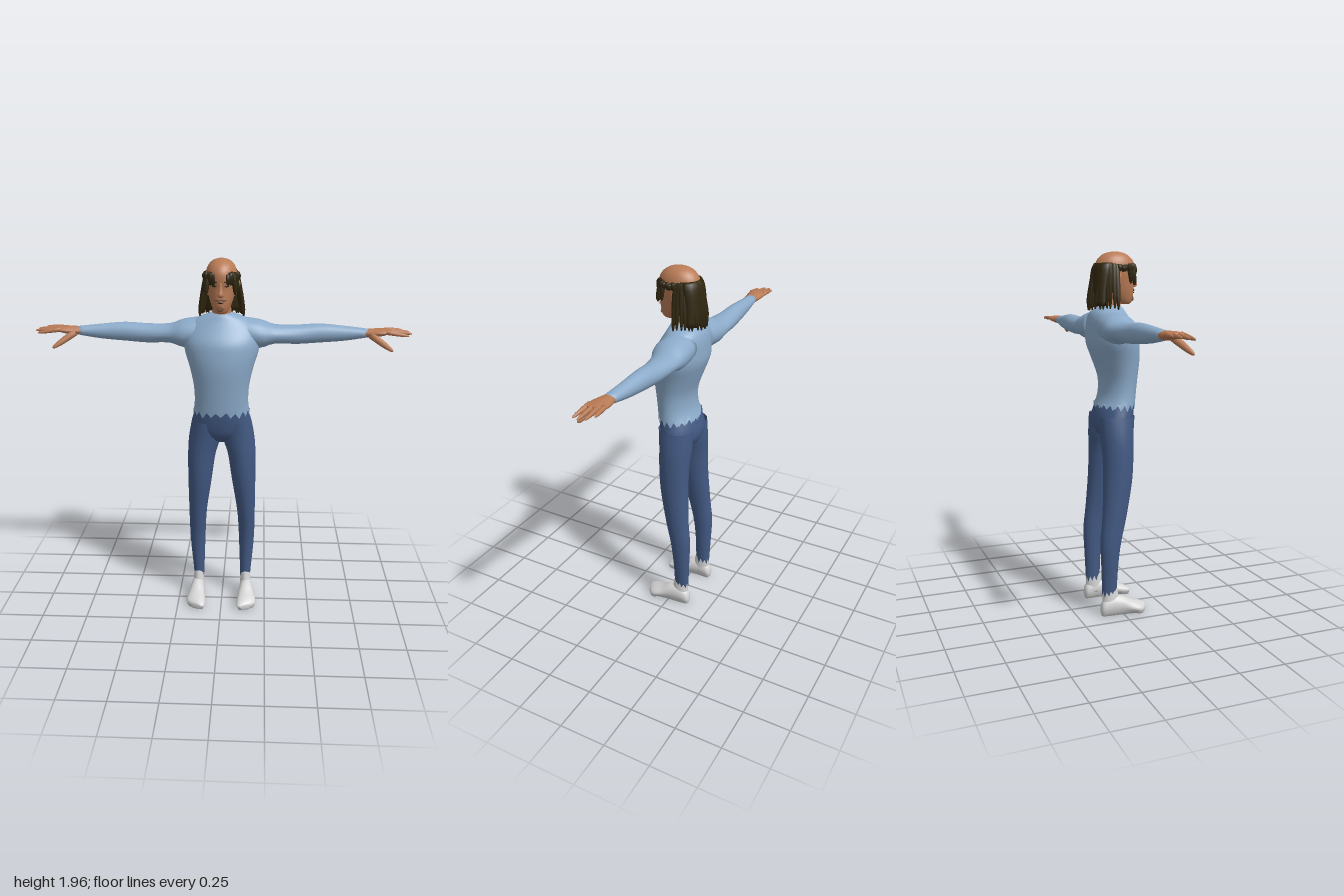
import * as THREE from 'three';

const mat = (name, color) => Object.assign(new THREE.MeshStandardMaterial({ color }), { name });

// small seeded random
let seed = 7;
const rnd = () => ((seed = (seed * 16807) % 2147483647) / 2147483647);

// Catmull-Rom blend of two neighbouring rows of numbers
const blend = (p, a, b, n, t) => a.map((_, k) => 0.5 * (2 * a[k] + (b[k] - p[k]) * t
  + (2 * p[k] - 5 * a[k] + 4 * b[k] - n[k]) * t * t + (3 * a[k] - p[k] - 3 * b[k] + n[k]) * t * t * t));

// Loft of ellipses along an axis. Row: [position, min1, max1, min2, max2], rows ascending.
// Axis y: 1 = z, 2 = x.  Axis x: 1 = y, 2 = z.  Axis z: 1 = x, 2 = y.
function loft(axis, rows, { seg = 20, sub = 3, cap = true, jag = 0 } = {}) {
  const all = [];
  rows.forEach((r, i) => {
    if (i === rows.length - 1) return all.push(r);
    const p = rows[Math.max(i - 1, 0)], b = rows[i + 1], n = rows[Math.min(i + 2, rows.length - 1)];
    for (let s = 0; s < sub; s++) all.push(blend(p, r, b, n, s / sub));
  });
  const A = 'xyz'.indexOf(axis), pos = [], idx = [];
  const put = (t, u, v) => {
    const q = [0, 0, 0];
    q[A] = t; q[(A + 1) % 3] = u; q[(A + 2) % 3] = v;
    pos.push(...q);
  };
  all.forEach(([t, a0, a1, b0, b1], i) => {
    for (let j = 0; j < seg; j++) {
      const th = (j / seg) * Math.PI * 2;
      const dt = i === 0 && jag ? (j % 2 ? 1 : -1) * jag * (0.35 + 0.65 * rnd()) : 0;
      put(t + dt, (a0 + a1) / 2 + Math.cos(th) * (a1 - a0) / 2, (b0 + b1) / 2 + Math.sin(th) * (b1 - b0) / 2);
    }
  });
  const at = (i, j) => i * seg + (j % seg);
  for (let i = 0; i < all.length - 1; i++) for (let j = 0; j < seg; j++)
    idx.push(at(i, j), at(i, j + 1), at(i + 1, j + 1), at(i, j), at(i + 1, j + 1), at(i + 1, j));
  if (cap) {
    const n = all.length - 1, f = all[0], l = all[n], c = all.length * seg;
    put(f[0], (f[1] + f[2]) / 2, (f[3] + f[4]) / 2);
    put(l[0], (l[1] + l[2]) / 2, (l[3] + l[4]) / 2);
    for (let j = 0; j < seg; j++) idx.push(c, at(0, j + 1), at(0, j), c + 1, at(n, j), at(n, j + 1));
  }
  const g = new THREE.BufferGeometry();
  g.setAttribute('position', new THREE.Float32BufferAttribute(pos, 3));
  g.setIndex(idx);
  g.computeVertexNormals();
  return g;
}

// mirrored copy across x with corner order corrected
function mirror(g) {
  const m = g.clone().scale(-1, 1, 1), a = m.index.array;
  for (let i = 0; i < a.length; i += 3) [a[i], a[i + 1]] = [a[i + 1], a[i]];
  m.computeVertexNormals();
  return m;
}

// tapered finger between two points
function finger(a, b, r) {
  const A = new THREE.Vector3(...a), d = new THREE.Vector3(...b).sub(A), L = d.length();
  const g = loft('y', [[0, -r, r, -r, r], [L * 0.55, -r * 0.85, r * 0.85, -r * 0.85, r * 0.85],
    [L * 0.92, -r * 0.5, r * 0.5, -r * 0.5, r * 0.5], [L, -0.001, 0.001, -0.001, 0.001]], { seg: 8, sub: 2 });
  g.applyQuaternion(new THREE.Quaternion().setFromUnitVectors(new THREE.Vector3(0, 1, 0), d.normalize()));
  return g.translate(A.x, A.y, A.z);
}

export function createModel() {
  seed = 7;
  const root = new THREE.Group();
  root.name = 'standingMan';
  const skin = mat('skin', 0xb97b56), hair = mat('hair', 0x30260f), shirt = mat('shirtBlue', 0x8cabca);
  const jeans = mat('jeansBlue', 0x435a84), shoe = mat('shoeWhite', 0xd6d6d6);
  const stubble = mat('stubble', 0x86593f), dark = mat('eyeDark', 0x2a1a12);
  shirt.side = jeans.side = THREE.DoubleSide;
  const add = (name, g, m) => {
    const o = new THREE.Mesh(g, m);
    o.name = name;
    root.add(o);
  };
  const pair = (name, g, m) => {
    add(name + 'Left', g, m);
    add(name + 'Right', mirror(g), m);
  };

  // shirt body with ragged hem, and sleeves
  add('shirtBody', loft('y', [
    [1.15, -0.1, 0.111, -0.153, 0.153], [1.21, -0.077, 0.117, -0.144, 0.144], [1.3, -0.076, 0.126, -0.148, 0.148],
    [1.4, -0.11, 0.136, -0.17, 0.17], [1.48, -0.138, 0.132, -0.195, 0.195], [1.54, -0.14, 0.12, -0.2, 0.2],
    [1.6, -0.136, 0.085, -0.188, 0.188], [1.645, -0.122, 0.06, -0.145, 0.145], [1.672, -0.095, 0.048, -0.085, 0.085],
    [1.685, -0.07, 0.035, -0.05, 0.05]], { seg: 36, cap: false, jag: 0.024 }), shirt);
  pair('sleeve', loft('x', [
    [0.08, 1.5, 1.66, -0.13, 0.05], [0.2, 1.492, 1.643, -0.138, 0.055], [0.28, 1.513, 1.614, -0.132, 0.022],
    [0.4, 1.51, 1.612, -0.12, -0.002], [0.52, 1.518, 1.619, -0.11, -0.014], [0.65, 1.53, 1.609, -0.095, -0.018],
    [0.77, 1.551, 1.596, -0.081, -0.016]]), shirt);

  // jeans: hips and two legs with ragged hems
  add('jeansHips', loft('y', [
    [0.975, -0.05, 0.02, -0.02, 0.02], [0.99, -0.08, 0.05, -0.07, 0.07], [1.03, -0.108, 0.08, -0.155, 0.155],
    [1.08, -0.114, 0.096, -0.165, 0.165], [1.14, -0.1, 0.107, -0.151, 0.151], [1.2, -0.074, 0.112, -0.139, 0.139]],
  { seg: 28 }), jeans);
  pair('jeansLeg', loft('y', [
    [0.125, -0.115, -0.032, 0.106, 0.165], [0.19, -0.117, -0.03, 0.104, 0.17], [0.3, -0.121, -0.024, 0.1, 0.18],
    [0.42, -0.125, -0.008, 0.095, 0.186], [0.55, -0.112, 0.022, 0.086, 0.187], [0.75, -0.1, 0.06, 0.056, 0.188],
    [0.9, -0.1, 0.071, 0.034, 0.187], [1, -0.106, 0.077, 0.004, 0.18], [1.1, -0.106, 0.088, 0.002, 0.162]],
  { cap: false, jag: 0.025 }), jeans);

  // shoes: ankle and foot, longest at the inner toe
  pair('shoeAnkle', loft('y', [[0.04, -0.115, -0.005, 0.105, 0.175], [0.09, -0.113, -0.018, 0.107, 0.168],
    [0.17, -0.111, -0.034, 0.109, 0.163]]), shoe);
  const foot = loft('z', [
    [-0.124, 0.125, 0.155, 0.015, 0.05], [-0.11, 0.108, 0.17, 0.001, 0.085], [-0.06, 0.105, 0.178, 0, 0.11],
    [0, 0.1, 0.184, 0.002, 0.1], [0.05, 0.094, 0.192, 0.002, 0.075], [0.1, 0.09, 0.2, 0, 0.058],
    [0.13, 0.095, 0.194, 0.002, 0.045], [0.145, 0.115, 0.17, 0.012, 0.034]]);
  const fp = foot.attributes.position;
  for (let i = 0; i < fp.count; i++) {
    const z = fp.getZ(i);
    if (z > 0) fp.setZ(i, z - (fp.getX(i) - 0.125) * z * 3);
    if (fp.getY(i) < 0.012) fp.setY(i, 0);
  }
  foot.computeVertexNormals();
  pair('shoeFoot', foot, shoe);

  // hands
  pair('palm', loft('x', [
    [0.745, 1.552, 1.594, -0.078, -0.018], [0.79, 1.552, 1.597, -0.088, -0.008], [0.84, 1.559, 1.598, -0.098, 0.002],
    [0.88, 1.57, 1.596, -0.098, -0.002], [0.895, 1.576, 1.59, -0.09, -0.01]], { seg: 14 }), skin);
  [[-0.088, 0.955, -0.1, 1.582], [-0.064, 0.99, -0.074, 1.577], [-0.038, 1, -0.04, 1.573], [-0.012, 0.98, -0.003, 1.567]]
    .forEach(([z, tx, tz, ty], i) => pair('finger' + (i + 1), finger([0.86, 1.584, z], [tx, ty, tz], 0.0125), skin));
  pair('thumb', finger([0.785, 1.567, -0.02], [0.895, 1.494, 0.036], 0.019), skin);

  // neck and head
  add('neck', loft('y', [[1.65, -0.08, 0.045, -0.06, 0.06], [1.69, -0.07, 0.04, -0.05, 0.05],
    [1.76, -0.07, 0.05, -0.05, 0.05]]), skin);
  add('head', loft('y', [
    [1.69, 0.04, 0.085, -0.018, 0.018], [1.7, 0.01, 0.103, -0.034, 0.034], [1.73, -0.04, 0.112, -0.051, 0.051],
    [1.77, -0.075, 0.114, -0.065, 0.065], [1.82, -0.093, 0.113, -0.076, 0.076], [1.86, -0.1, 0.12, -0.081, 0.081],
    [1.9, -0.097, 0.118, -0.079, 0.079], [1.933, -0.078, 0.098, -0.066, 0.066], [1.955, -0.047, 0.066, -0.043, 0.043],
    [1.964, -0.01, 0.03, -0.015, 0.015]], { seg: 28 }), skin);
  add('nose', loft('y', [[1.779, 0.1, 0.118, -0.011, 0.011], [1.79, 0.1, 0.14, -0.016, 0.016],
    [1.82, 0.1, 0.129, -0.01, 0.01], [1.853, 0.1, 0.12, -0.007, 0.007]], { seg: 10 }), skin);

  // thin oval details on the face
  const oval = (w, h, x, y, z, yaw) =>
    new THREE.SphereGeometry(1, 14, 8).scale(w, h, 0.004).rotateY(yaw).translate(x, y, z);
  pair('eye', oval(0.014, 0.005, 0.031, 1.835, 0.106, 0.3), dark);
  pair('eyebrow', oval(0.02, 0.005, 0.034, 1.856, 0.11, 0.3), hair);
  pair('moustache', oval(0.018, 0.006, 0.016, 1.766, 0.112, 0.2), stubble);
  add('lips', oval(0.016, 0.004, 0, 1.752, 0.114, 0), dark);
  add('goatee', oval(0.02, 0.016, 0, 1.722, 0.11, 0), stubble);
  pair('ear', loft('y', [[1.775, -0.012, 0.012, 0.062, 0.075], [1.8, -0.018, 0.014, 0.065, 0.086],
    [1.835, -0.026, 0.016, 0.068, 0.098], [1.855, -0.015, 0.01, 0.07, 0.09]], { seg: 10 }), skin);

  // hair: under layer at the back, then locks hanging around the head
  add('hairUnderLayer', loft('y', [[1.685, -0.128, -0.045, -0.095, 0.095], [1.78, -0.125, -0.03, -0.09, 0.09],
    [1.87, -0.115, -0.01, -0.086, 0.086], [1.905, -0.098, -0.01, -0.074, 0.074]], { seg: 20 }), hair);
  const lock = (deg, end, w, flare) => {
    const th = THREE.MathUtils.degToRad(deg), top = 1.893 + rnd() * 0.014, out = rnd() * 0.006;
    const mid = (top + end) / 2;
    const g = loft('y', [
      [end, flare - 0.004, flare + 0.004, -0.003, 0.003],
      [end + (top - end) * 0.15, flare - 0.012, flare + 0.006 + out, -w * 0.7, w * 0.7],
      [mid, flare * 0.5 - 0.01, flare * 0.5 + 0.013 + out, -w, w],
      [top - (top - end) * 0.1, -0.012, 0.012 + out, -w, w],
      [top, -0.018, 0.002, -w * 0.6, w * 0.6]], { seg: 6, sub: 2 });
    return g.rotateY(th).translate(0.08 * Math.sin(th), 0, 0.01 + 0.107 * Math.cos(th));
  };
  for (let d = 98; d < 180; d += 8)
    pair('longLock', lock(d + rnd() * 3, 1.655 + rnd() * 0.03, 0.013, 0.036), hair);
  add('longLockBack', lock(180, 1.66, 0.014, 0.036), hair);
  for (let d = 26; d < 98; d += 8)
    pair('shortLock', lock(d + rnd() * 3, (d < 60 ? 1.835 : 1.85) + rnd() * 0.015, 0.012, 0.006), hair);
  pair('templeLock', lock(48, 1.79, 0.012, 0.018), hair);
  pair('templeLockBack', lock(62, 1.8, 0.011, 0.016), hair);

  return root;
}
